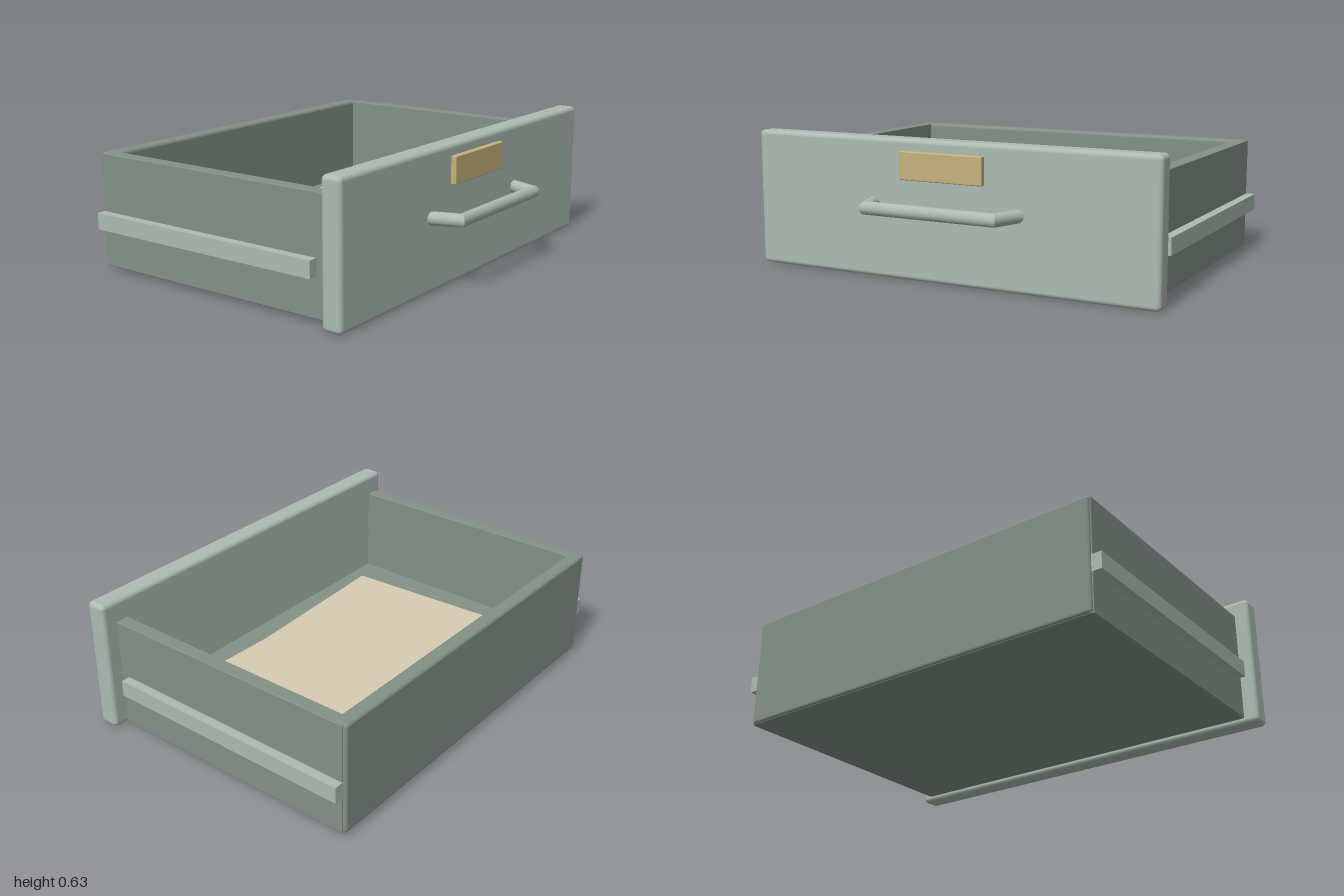
import * as THREE from 'three';
import { RoundedBoxGeometry } from 'three/addons/geometries/RoundedBoxGeometry.js';

const material = (name, color) => {
  const m = new THREE.MeshStandardMaterial({ color });
  m.name = name;
  return m;
};

// Box given by its min and max corners, optionally with rounded edges
function block(name, mat, [x0, y0, z0], [x1, y1, z1], radius = 0) {
  const size = [x1 - x0, y1 - y0, z1 - z0];
  const geo = radius
    ? new RoundedBoxGeometry(...size, 3, radius)
    : new THREE.BoxGeometry(...size);
  const mesh = new THREE.Mesh(geo, mat);
  mesh.position.set((x0 + x1) / 2, (y0 + y1) / 2, (z0 + z1) / 2);
  mesh.name = name;
  return mesh;
}

// Straight tube between two rings; each ring is stretched along its own mitre direction
function mitredTube(a, b, r, sides = 20) {
  const pos = [], index = [];
  for (const { x, z, mx, mz } of [a, b]) {
    for (let i = 0; i < sides; i++) {
      const t = (i / sides) * Math.PI * 2;
      const c = Math.cos(t) * r;
      pos.push(x + mx * c, Math.sin(t) * r, z + mz * c);
    }
  }
  for (let i = 0; i < sides; i++) {
    const j = (i + 1) % sides;
    index.push(i, i + sides, j, j, i + sides, j + sides);
  }
  const geo = new THREE.BufferGeometry();
  geo.setAttribute('position', new THREE.Float32BufferAttribute(pos, 3));
  geo.setIndex(index);
  geo.computeVertexNormals();
  return geo;
}

export function createModel() {
  const face = material('pale green paint', 0xacbcb3);
  const shell = material('dark green paint', 0x829187);
  const brass = material('brass', 0xc6b27d);
  const paper = material('paper', 0xd7ccb3);

  const drawer = new THREE.Group();
  drawer.name = 'drawer';

  // Front panel and label plate
  drawer.add(block('frontPanel', face, [-1, 0, 0.527], [1, 0.635, 0.625], 0.022));
  drawer.add(block('labelPlate', brass, [-0.208, 0.455, 0.61], [0.205, 0.582, 0.65], 0.005));

  // Open tray: floor, back and two sides
  drawer.add(block('floor', shell, [-0.935, 0.017, -0.77], [0.935, 0.118, 0.51], 0.006));
  drawer.add(block('backWall', shell, [-0.937, 0.02, -0.778], [0.937, 0.549, -0.708], 0.016));
  for (const [side, s] of [['left', 1], ['right', -1]]) {
    const span = (a, b) => (s > 0 ? [a, b] : [-b, -a]);
    const [w0, w1] = span(0.877, 0.942);
    drawer.add(block(side + 'Wall', shell, [w0, 0.02, -0.762], [w1, 0.546, 0.51], 0.004));
    const [r0, r1] = span(0.935, 0.985);
    drawer.add(block(side + 'Rail', face, [r0, 0.2, -0.764], [r1, 0.277, 0.463]));
  }

  // Handle: a bar and two splayed legs with mitred corners
  const handle = new THREE.Group();
  handle.name = 'handle';
  handle.position.y = 0.337;
  const foot = (s) => ({ x: s * 0.362, z: 0.62, mx: s * 1.07, mz: 0 });
  const corner = (s) => ({ x: s * 0.317, z: 0.748, mx: s * 0.64, mz: 0.9 });
  const addTube = (name, a, b) => {
    const mesh = new THREE.Mesh(mitredTube(a, b, 0.03), face);
    mesh.name = name;
    handle.add(mesh);
  };
  addTube('rightLeg', foot(-1), corner(-1));
  addTube('bar', corner(-1), corner(1));
  addTube('leftLeg', corner(1), foot(1));
  drawer.add(handle);

  // Two loose sheets lying askew on the floor
  const sheets = [
    ['lowerSheet', 1.397, 1.0, -0.048, 0.124, -0.107, 0.05],
    ['upperSheet', 1.176, 0.858, 0.042, 0.136, -0.062, -0.038],
  ];
  for (const [name, w, d, x, y, z, turn] of sheets) {
    const sheet = new THREE.Mesh(new THREE.BoxGeometry(w, 0.012, d), paper);
    sheet.position.set(x, y, z);
    sheet.rotation.y = turn;
    sheet.name = name;
    drawer.add(sheet);
  }

  return drawer;
}
